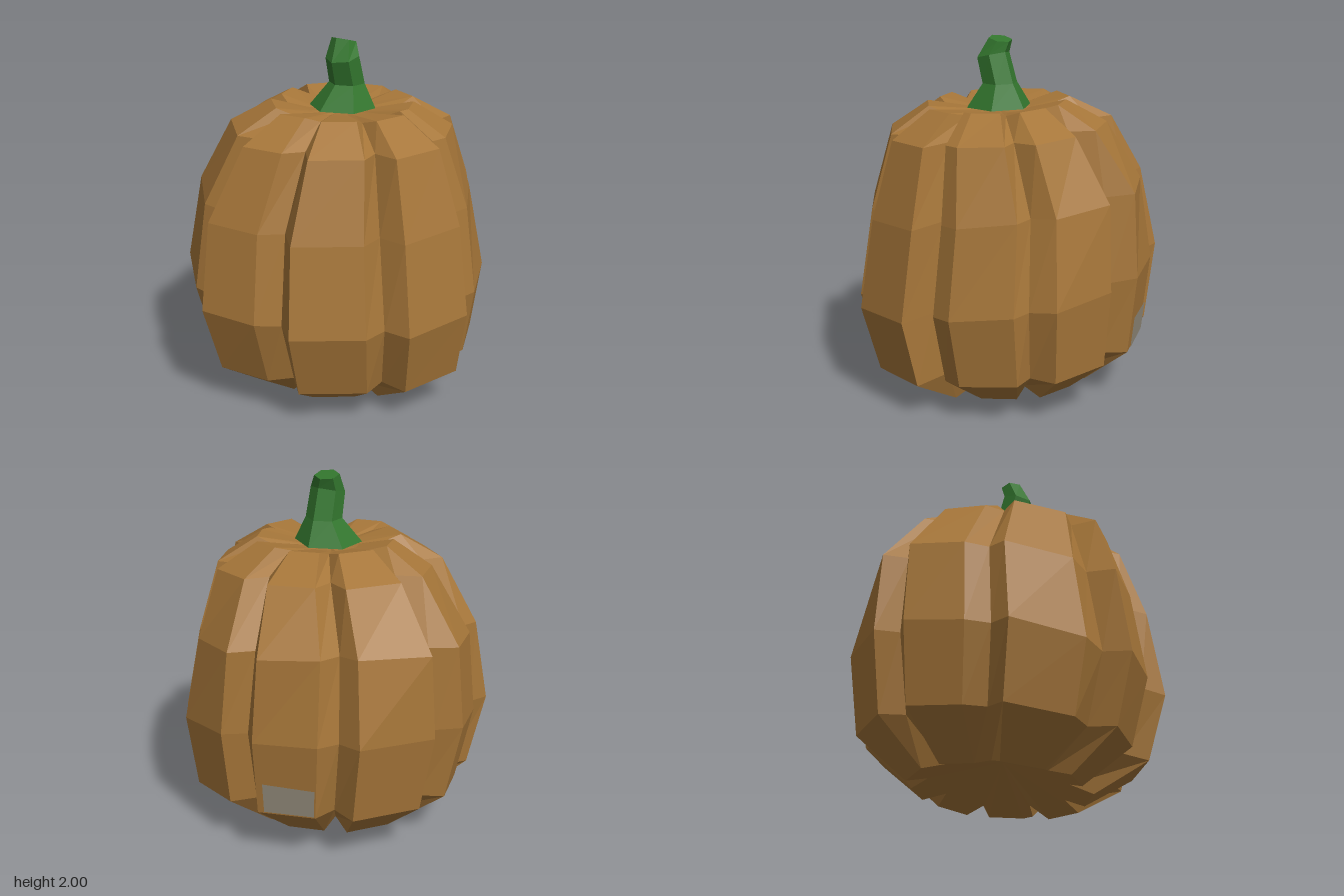
import * as THREE from 'three';

// Plan outline at the widest ring, clockwise from the back:
// [x, z, 1 = groove, narrowing at the shoulder ring]
const OUTLINE = [
  [-0.265, -0.785, 0, 1], [0.04, -0.90, 0, 1], [0.155, -0.79, 1, 1],
  [0.27, -0.87, 0, 1], [0.64, -0.65, 0, 0.92], [0.62, -0.50, 1, 0.95],
  [0.74, -0.45, 0, 0.95], [0.875, -0.12, 0, 1], [0.77, 0.0, 1, 1],
  [0.865, 0.11, 0, 1], [0.775, 0.46, 0, 0.96], [0.63, 0.51, 1, 0.97],
  [0.61, 0.61, 0, 0.96], [0.31, 0.78, 0, 1], [0.18, 0.76, 0, 1], [0.135, 0.70, 1, 1],
  [0.085, 0.90, 0, 1], [-0.31, 0.825, 0, 1], [-0.345, 0.68, 1, 1],
  [-0.48, 0.67, 0, 1], [-0.765, 0.38, 0, 1], [-0.69, 0.25, 1, 1],
  [-0.79, 0.14, 0, 1], [-0.88, -0.175, 0, 1], [-0.73, -0.22, 1, 1],
  [-0.74, -0.39, 0, 0.98], [-0.50, -0.73, 0, 0.96], [-0.37, -0.70, 1, 1],
];

// Body rings: size, height, tilt, x shift, z shift, groove size, groove lift
const RINGS = [
  [0.58, 0.037, 0.05, 0.045, -0.025, 0.88, 0.04],
  [0.91, 0.245, 0.06, 0.035, 0, 0.97, 0.01],
  [1.0, 0.65, 0.09, 0, 0, 1, 0],
  [0.935, 1.13, 0.08, 0.015, -0.02, 0.97, 0],
  [0.72, 1.507, 0.04, 0, 0.045, 0.92, 0],
  [0.46, 1.64, 0.03, 0, 0.05, 0.88, -0.03],
  [0.2, 1.6, 0, 0, 0.03, 0.9, -0.01],
];
const SHOULDER = 3;

// Stem rings: centre x, y, z, radius x, radius z, slope along x
const STEM = [
  [0.015, 1.61, 0.035, 0.18, 0.193, 0],
  [0.035, 1.745, 0.05, 0.095, 0.105, 0],
  [-0.008, 1.895, 0.055, 0.085, 0.1, 0.25],
  [0.027, 1.985, 0.035, 0.06, 0.075, -0.25],
];

// Skin closed rings of points, with a fan to a point at each end
function loft(rings, bottom, top) {
  const pos = [];
  const tri = (...points) => points.forEach((p) => pos.push(p.x, p.y, p.z));
  const n = rings[0].length;
  const last = rings.length - 1;
  for (let i = 0; i < n; i++) {
    const k = (i + 1) % n;
    for (let j = 0; j < last; j++) {
      tri(rings[j][i], rings[j + 1][i], rings[j][k]);
      tri(rings[j][k], rings[j + 1][i], rings[j + 1][k]);
    }
    tri(rings[0][i], rings[0][k], bottom);
    tri(rings[last][k], rings[last][i], top);
  }
  const geometry = new THREE.BufferGeometry();
  geometry.setAttribute('position', new THREE.Float32BufferAttribute(pos, 3));
  geometry.computeVertexNormals();
  return geometry;
}

function material(name, color) {
  const m = new THREE.MeshStandardMaterial({ color, flatShading: true });
  m.name = name;
  return m;
}

export function createModel() {
  const model = new THREE.Group();
  model.name = 'pumpkin';
  const add = (name, geometry, mat) => {
    const mesh = new THREE.Mesh(geometry, mat);
    mesh.name = name;
    model.add(mesh);
  };

  // Ribbed body with a hollow underside
  const bodyRings = RINGS.map(([size, y, tilt, shiftX, shiftZ, grooveSize, grooveLift], j) =>
    OUTLINE.map(([x, z, groove, narrow]) => {
      const s = size * (groove ? grooveSize : 1) * (j === SHOULDER ? narrow : 1);
      return new THREE.Vector3(
        x * s + shiftX, y + tilt * (x - z) * size + (groove ? grooveLift : 0), z * s + shiftZ);
    }));
  add('body', loft(bodyRings, new THREE.Vector3(0.05, 0.21, -0.02), new THREE.Vector3(0.02, 1.59, 0.04)),
    material('pumpkin brown', 0xa67639));

  // Crooked six-sided stem
  const stemRings = STEM.map(([cx, cy, cz, rx, rz, slope]) =>
    Array.from({ length: 6 }, (_, i) => {
      const a = (i * Math.PI) / 3;
      const dx = Math.cos(a) * rx;
      return new THREE.Vector3(cx + dx, cy + dx * slope, cz + Math.sin(a) * rz);
    }));
  add('stem', loft(stemRings, new THREE.Vector3(0.015, 1.61, 0.035), new THREE.Vector3(0.027, 1.985, 0.035)),
    material('stem green', 0x33762e));

  // Small patch lying on the lower part of one rib
  const [a, b] = [6, 7];
  const [low, high] = [bodyRings[1], bodyRings[2]];
  const out = new THREE.Vector3()
    .crossVectors(high[a].clone().sub(low[a]), low[b].clone().sub(low[a])).normalize();
  const patch = new THREE.PlaneGeometry(1, 1, 4, 3);
  const p = patch.attributes.position;
  for (let i = 0; i < p.count; i++) {
    const u = 0.88 - 0.86 * (p.getX(i) + 0.5);
    const v = 0.03 + (0.37 + 0.04 * u) * (p.getY(i) + 0.5);
    const q = low[a].clone().lerp(low[b], u)
      .lerp(high[a].clone().lerp(high[b], u), v).addScaledVector(out, 0.008);
    p.setXYZ(i, q.x, q.y, q.z);
  }
  patch.computeVertexNormals();
  const grey = material('patch grey', 0x958d7c);
  grey.side = THREE.DoubleSide;
  add('patch', patch, grey);

  return model;
}
